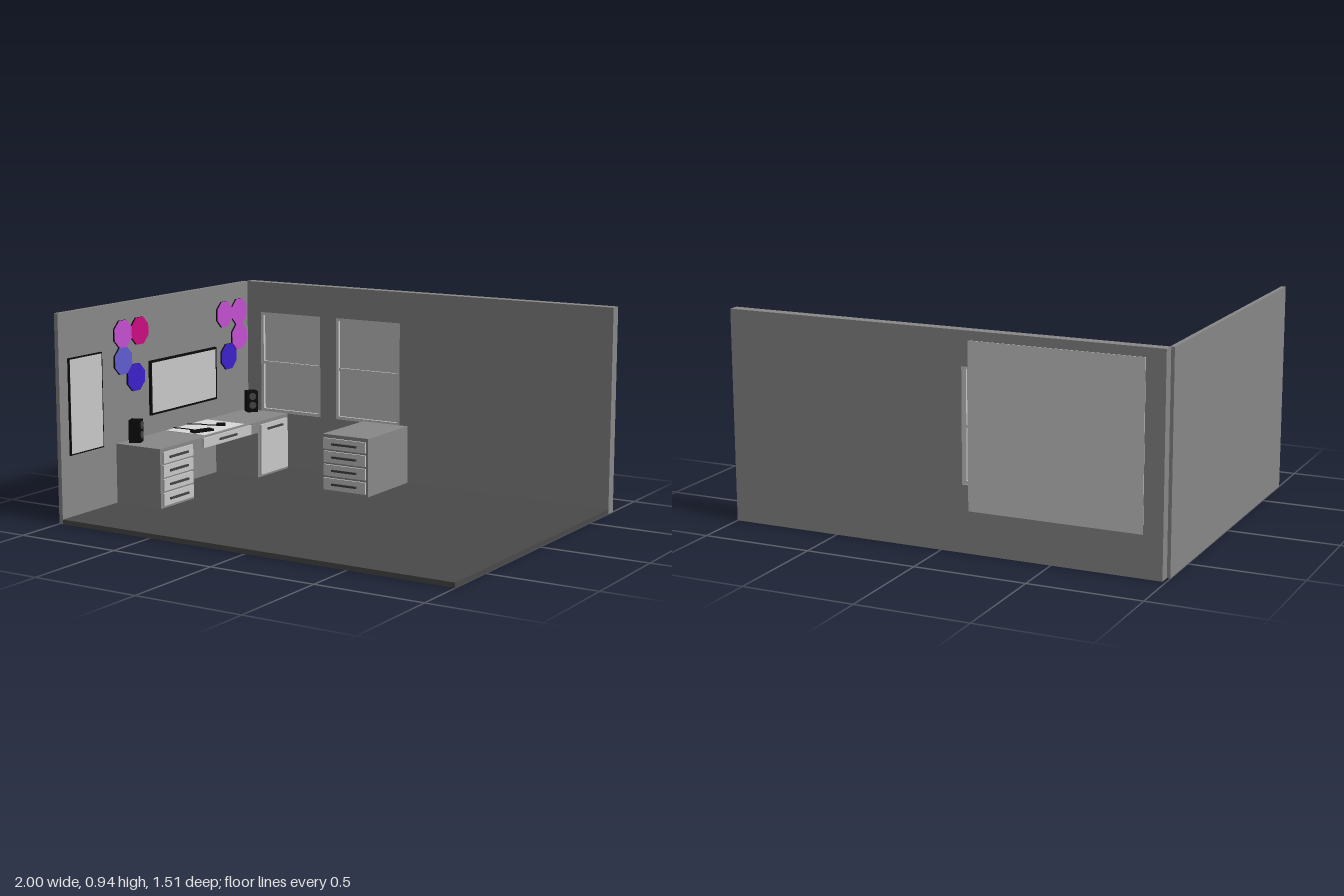
import * as THREE from 'three';

const mat = (name, color) => {
  const m = new THREE.MeshStandardMaterial({ color });
  m.name = name;
  return m;
};

export function createModel() {
  const root = new THREE.Group();
  root.name = 'room';
  const wallGrey = mat('wall grey', 0x888888);
  const floorGrey = mat('floor grey', 0x4a4a4a);
  const light = mat('light grey', 0xc8c8c8);
  const white = mat('pad white', 0xdadada);
  const black = mat('black', 0x0a0a0a);
  const handleGrey = mat('handle grey', 0x444444);
  const purple = mat('purple', 0xc450d0);
  const magenta = mat('magenta', 0xcc0c80);
  const periwinkle = mat('periwinkle', 0x605cd0);
  const indigo = mat('indigo', 0x3c20cc);

  const add = (parent, name, geo, material) => {
    const mesh = new THREE.Mesh(geo, material);
    mesh.name = name;
    parent.add(mesh);
    return mesh;
  };
  // Box given by its limits on each axis
  const box = (parent, name, material, x0, x1, y0, y1, z0, z1) => {
    const b = add(parent, name, new THREE.BoxGeometry(x1 - x0, y1 - y0, z1 - z0), material);
    b.position.set((x0 + x1) / 2, (y0 + y1) / 2, (z0 + z1) / 2);
    return b;
  };
  const group = (name) => {
    const g = new THREE.Group();
    g.name = name;
    root.add(g);
    return g;
  };

  // Floor and left-hand wall
  box(root, 'floor', floorGrey, -0.98, 1, 0.005, 0.027, -0.705, 0.755);
  box(root, 'sideWall', wallGrey, -1, -0.98, 0.005, 0.95, -0.705, 0.755);

  // Back wall with two window openings
  const windows = [[-0.9, -0.55], [-0.46, -0.1]];
  const wy0 = 0.3, wy1 = 0.8;
  const rect = (S, x0, x1, y0, y1) => new S([
    [x0, y0], [x1, y0], [x1, y1], [x0, y1],
  ].map(([x, y]) => new THREE.Vector2(x, y)));
  const wall = rect(THREE.Shape, -0.985, 1, 0.005, 0.95);
  windows.forEach(([a, b]) => wall.holes.push(rect(THREE.Path, a, b, wy0, wy1)));
  add(root, 'backWall', new THREE.ExtrudeGeometry(wall, { depth: 0.05, bevelEnabled: false }), wallGrey)
    .position.z = -0.755;
  box(root, 'outsidePanel', light, -0.9, -0.13, 0.19, 0.91, -0.759, -0.7555);

  // Windows: two sashes each
  windows.forEach(([a, b]) => {
    const g = group('window');
    const t = 0.014, mid = 0.547, z0 = -0.74, z1 = -0.708;
    box(g, 'jamb', light, a, a + t, wy0, wy1, z0, z1);
    box(g, 'jamb', light, b - t, b, wy0, wy1, z0, z1);
    box(g, 'sill', light, a + t, b - t, wy0, wy0 + t, z0, z1);
    box(g, 'head', light, a + t, b - t, wy1 - t, wy1, z0, z1);
    box(g, 'meetingRail', light, a + t, b - t, mid - 0.007, mid + 0.007, z0, z1 - 0.003);
    box(g, 'pane', light, a + t, b - t, wy0 + t, wy1 - t, -0.73, -0.722);
  });

  // Drawer fronts with handles, built facing +z around x = 0
  const rows = [[0.04, 0.097], [0.108, 0.162], [0.172, 0.226], [0.236, 0.288]];
  const drawers = (parent, w, list, handleW) => {
    const g = new THREE.Group();
    g.name = 'drawers';
    parent.add(g);
    list.forEach(([y0, y1]) => {
      const y = (y0 + y1) / 2;
      box(g, 'drawerFront', light, -w / 2, w / 2, y0, y1, 0, 0.01);
      box(g, 'drawerHandle', handleGrey, -handleW / 2, handleW / 2, y - 0.005, y + 0.005, 0.01, 0.017);
    });
    return g;
  };

  // Desk: drawer pedestal, open knee space, door cabinet
  const desk = group('desk');
  const front = -0.73;
  box(desk, 'drawerPedestal', wallGrey, -0.98, front, 0.027, 0.305, 0.11, 0.365);
  box(desk, 'doorPedestal', wallGrey, -0.98, front, 0.027, 0.305, -0.683, -0.42);
  box(desk, 'deskTop', wallGrey, -0.98, front, 0.25, 0.305, -0.42, 0.11);
  const facing = (g, z) => {
    g.rotation.y = Math.PI / 2;
    g.position.set(front, 0, z);
  };
  facing(drawers(desk, 0.225, rows, 0.14), 0.2375);
  facing(drawers(desk, 0.39, [[0.255, 0.301]], 0.14), -0.155);
  box(desk, 'cabinetDoor', light, front, front + 0.01, 0.04, 0.288, -0.67, -0.437);
  box(desk, 'doorHandle', handleGrey, front + 0.01, front + 0.017, 0.257, 0.267, -0.62, -0.49);

  // Free-standing drawer cabinet
  const cabinet = group('cabinet');
  box(cabinet, 'cabinetBody', wallGrey, -0.303, -0.053, 0.027, 0.305, -0.705, -0.335);
  drawers(cabinet, 0.23, rows, 0.135).position.set(-0.178, 0, -0.335);

  // Desk pad, keyboard and mouse with cables
  const gear = group('deskGear');
  box(gear, 'deskPad', white, -0.97, -0.75, 0.305, 0.308, -0.33, 0);
  const keyboard = box(gear, 'keyboard', black, -0.827, -0.787, 0.308, 0.318, -0.12, -0.01);
  keyboard.rotation.y = -0.35;
  const mouse = box(gear, 'mouse', black, -0.842, -0.798, 0.308, 0.319, -0.253, -0.227);
  mouse.rotation.y = 0.6;
  const cable = (pts) => {
    const curve = new THREE.CatmullRomCurve3(pts.map(([x, z]) => new THREE.Vector3(x, 0.311, z)));
    add(gear, 'cable', new THREE.TubeGeometry(curve, 16, 0.0025, 6), black);
  };
  cable([[-0.97, -0.17], [-0.91, -0.2], [-0.87, -0.205], [-0.835, -0.23]]);
  cable([[-0.97, -0.06], [-0.93, -0.066], [-0.87, -0.066], [-0.82, -0.06]]);

  // Speakers turned towards the middle of the desk
  [[-0.918, -0.64, -0.7], [-0.927, 0.285, 0.35]].forEach(([x, z, turn]) => {
    const g = group('speaker');
    g.position.set(x, 0.305, z);
    g.rotation.y = turn;
    box(g, 'speakerBody', black, -0.027, 0.027, 0, 0.105, -0.027, 0.027);
    [0.035, 0.08].forEach((y) => {
      const cone = add(g, 'speakerCone', new THREE.CylinderGeometry(0.018, 0.018, 0.004, 20), handleGrey);
      cone.rotation.z = -Math.PI / 2;
      cone.position.set(0.028, y, 0);
    });
  });

  // Screen and tall board, each with a thin dark frame
  const framed = (name, x, y0, y1, z0, z1, t) => {
    const g = group(name);
    box(g, name + 'Frame', black, -0.98, x, y0, y1, z0, z1);
    box(g, name + 'Face', light, x, x + 0.001, y0 + t, y1 - t, z0 + t, z1 - t);
  };
  framed('screen', -0.968, 0.397, 0.655, -0.417, 0.113, 0.01);
  framed('wallBoard', -0.971, 0.307, 0.744, 0.464, 0.697, 0.006);

  // Octagonal wall lights
  const r = 0.0625 / Math.cos(Math.PI / 8);
  [
    [0.31, 0.807, purple], [0.185, 0.807, magenta], [0.31, 0.683, periwinkle], [0.217, 0.594, indigo],
    [-0.495, 0.807, purple], [-0.62, 0.807, purple], [-0.62, 0.683, purple], [-0.528, 0.594, indigo],
  ].forEach(([z, y, m]) => {
    const g = group('wallLight');
    g.position.set(-0.98, y, z);
    g.rotation.z = -Math.PI / 2;
    const back = add(g, 'lightBody', new THREE.CylinderGeometry(r, r, 0.008, 8, 1, false, Math.PI / 8), black);
    back.position.y = 0.004;
    const face = add(g, 'lightFace', new THREE.CylinderGeometry(r, r, 0.002, 8, 1, false, Math.PI / 8), m);
    face.position.y = 0.009;
    [back, face].forEach((o) => { o.geometry = o.geometry.toNonIndexed(); o.geometry.computeVertexNormals(); });
  });

  return root;
}
